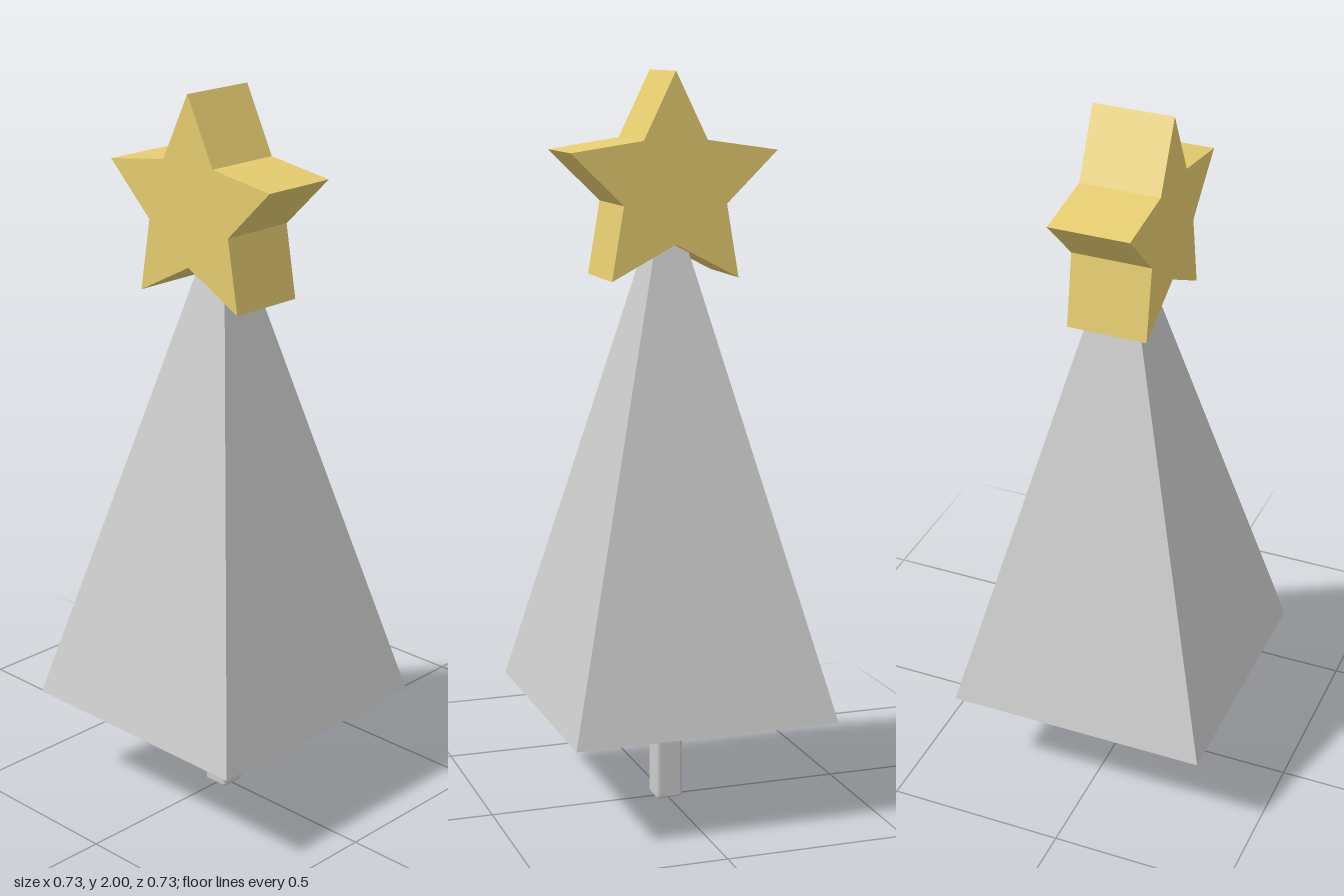
import * as THREE from 'three';
import { RoundedBoxGeometry } from 'three/addons/geometries/RoundedBoxGeometry.js';

export function createModel() {
  const group = new THREE.Group();
  const grey = new THREE.MeshStandardMaterial({ color: 0xcccccc, flatShading: true });
  const gold = new THREE.MeshStandardMaterial({ color: 0xe5cc70, flatShading: true });

  const add = (name, geometry, material) => {
    const mesh = new THREE.Mesh(geometry, material);
    mesh.name = name;
    group.add(mesh);
    return mesh;
  };

  // Trunk: slim square post with bevelled edges
  add('trunk', new RoundedBoxGeometry(0.076, 0.3, 0.076, 1, 0.009), grey).position.y = 0.15;

  // Foliage: four-sided pyramid whose tip ends inside the star
  const base = 0.285, apex = 1.715, half = 0.365;
  const pyramid = new THREE.ConeGeometry(half * Math.SQRT2, apex - base, 4);
  pyramid.rotateY(Math.PI / 4);
  add('foliage', pyramid, grey).position.y = (base + apex) / 2;

  // Star: thick five-pointed extrusion, set slightly forward
  const points = Array.from({ length: 10 }, (_, i) => {
    const r = i % 2 ? 0.15 : 0.3;
    const a = Math.PI / 2 + (i * Math.PI) / 5;
    return new THREE.Vector2(r * Math.cos(a), r * Math.sin(a));
  });
  const starGeometry = new THREE.ExtrudeGeometry(new THREE.Shape(points), { depth: 0.218, bevelEnabled: false });
  add('star', starGeometry, gold).position.set(0, 1.7, -0.085);

  return group;
}
